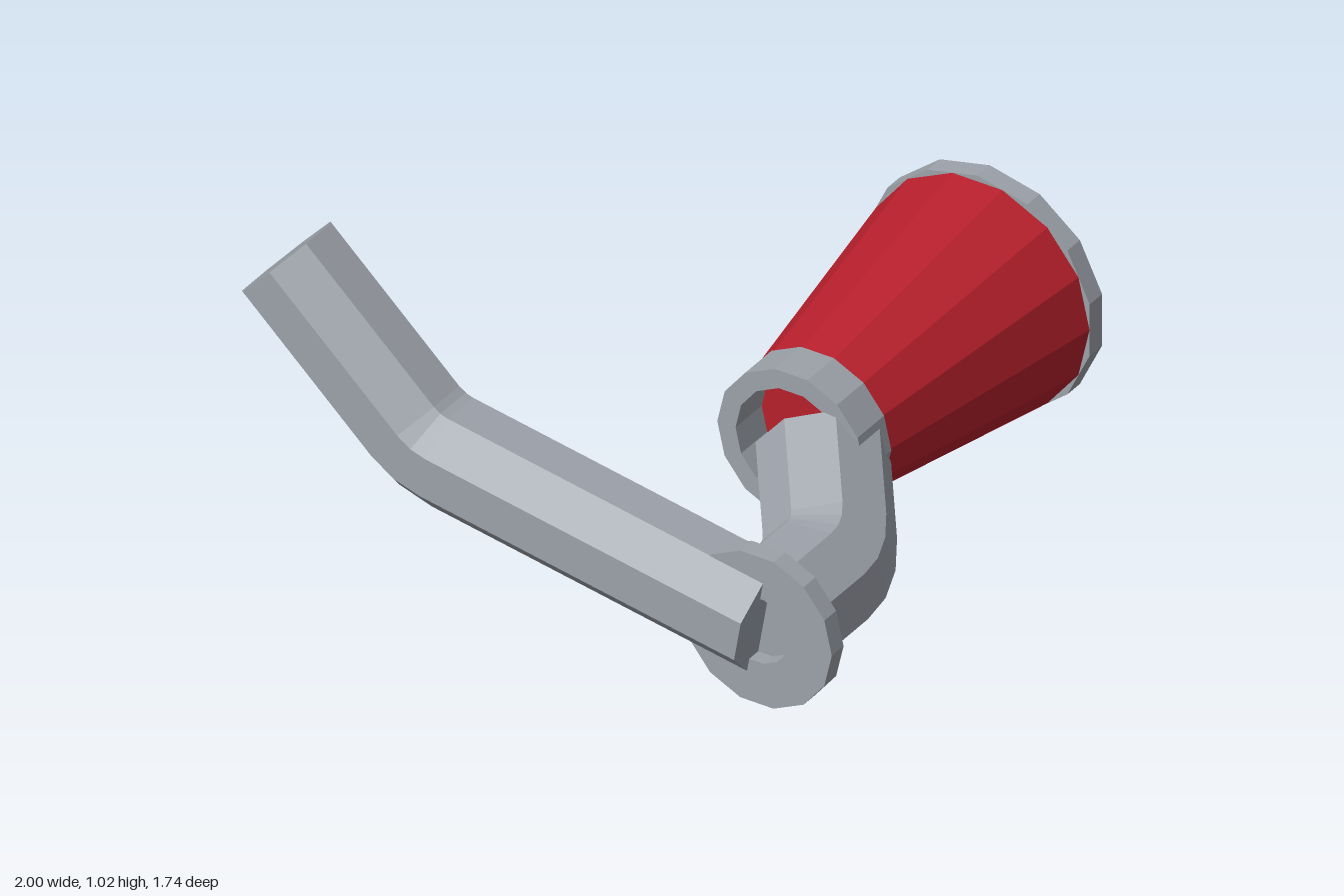
import * as THREE from 'three';

const metal = new THREE.MeshStandardMaterial({ color: 0x9da2aa });
metal.name = 'grey metal';
const red = new THREE.MeshStandardMaterial({ color: 0xb8202c });
red.name = 'red paint';

const SIDES = 14;
const V = (x, y, z) => new THREE.Vector3(x, y, z);

// Faceted normals without changing the material
function faceted(geometry) {
  const g = geometry.index ? geometry.toNonIndexed() : geometry;
  g.computeVertexNormals();
  return g;
}

function part(name, geometry, material, x = 0, y = 0, z = 0) {
  const mesh = new THREE.Mesh(geometry, material);
  mesh.name = name;
  mesh.position.set(x, y, z);
  return mesh;
}

// Solid polygon drum along z, from zBack to zFront
function drum(rFront, rBack, zBack, zFront, start) {
  const g = new THREE.CylinderGeometry(rFront, rBack, zFront - zBack, SIDES, 1, false, start);
  g.rotateX(Math.PI / 2).translate(0, 0, (zFront + zBack) / 2);
  return faceted(g);
}

// Polygon ring with a hole, extruded along z
function ring(rOuter, rInner, zBack, zFront) {
  const polygon = (r) => Array.from({ length: SIDES }, (_, i) => {
    const a = (i / SIDES) * Math.PI * 2;
    return new THREE.Vector2(r * Math.cos(a), r * Math.sin(a));
  });
  const shape = new THREE.Shape(polygon(rOuter));
  shape.holes.push(new THREE.Path(polygon(rInner)));
  const g = new THREE.ExtrudeGeometry(shape, { depth: zFront - zBack, bevelEnabled: false });
  return g.translate(0, 0, zBack);
}

// Eight-sided closed pipe: two straight runs joined by a short rounded bend
function bentPipe(start, corner, end, radius, reach, steps) {
  const d0 = corner.clone().sub(start).normalize();
  const d1 = end.clone().sub(corner).normalize();
  const side = d0.clone().cross(d1).normalize();
  const bend = new THREE.QuadraticBezierCurve3(
    corner.clone().addScaledVector(d0, -reach), corner, corner.clone().addScaledVector(d1, reach));
  const stations = [[start, d0]];
  for (let i = 0; i <= steps; i++) {
    stations.push([bend.getPoint(i / steps), bend.getTangent(i / steps).normalize()]);
  }
  stations.push([end, d1]);

  const n = 8, positions = [], index = [];
  for (const [c, d] of stations) {
    const up = side.clone().cross(d);
    for (let j = 0; j < n; j++) {
      const a = ((j + 0.5) / n) * Math.PI * 2;
      const p = c.clone().addScaledVector(up, radius * Math.cos(a))
        .addScaledVector(side, radius * Math.sin(a));
      positions.push(p.x, p.y, p.z);
    }
  }
  const last = (stations.length - 1) * n;
  for (let i = 0; i < last; i += n) {
    for (let j = 0; j < n; j++) {
      const k = (j + 1) % n;
      index.push(i + j, i + k, i + n + k, i + j, i + n + k, i + n + j);
    }
  }
  for (let j = 1; j < n - 1; j++) {
    index.push(0, j + 1, j, last, last + j, last + j + 1);
  }
  const g = new THREE.BufferGeometry();
  g.setAttribute('position', new THREE.Float32BufferAttribute(positions, 3));
  g.setIndex(index);
  return faceted(g);
}

export function createModel() {
  const model = new THREE.Group();
  model.name = 'bentHandleWithCone';

  // Red tapered body with its rear cap and open front collar
  const cx = 0.468, cy = 0.443;
  model.add(part('coneBody', drum(0.243, 0.38, -0.812, 0.03, Math.PI / 2), red, cx, cy));
  model.add(part('rearCap', drum(0.39, 0.39, -0.875, -0.81, 0), metal, cx, cy));
  model.add(part('frontCollar', ring(0.25, 0.188, 0.028, 0.167), metal, cx, cy));

  // Elbow pipe from the flange into the collar
  model.add(part('elbowPipe', bentPipe(
    V(0.745, 0.25, 0.73), V(0.745, 0.25, 0.38), V(0.53, 0.434, 0.097), 0.195, 0.1, 3), metal));

  // Pivot flange with a shallow central recess
  model.add(part('flange', ring(0.254, 0.11, 0.715, 0.777), metal, 0.746, 0.25));

  // Long bent handle
  model.add(part('handle', bentPipe(
    V(0.74, 0.256, 0.71), V(-0.402, 0.453, 0.71), V(-0.89, 0.905, 0.71), 0.173, 0.075, 2), metal));

  return model;
}
